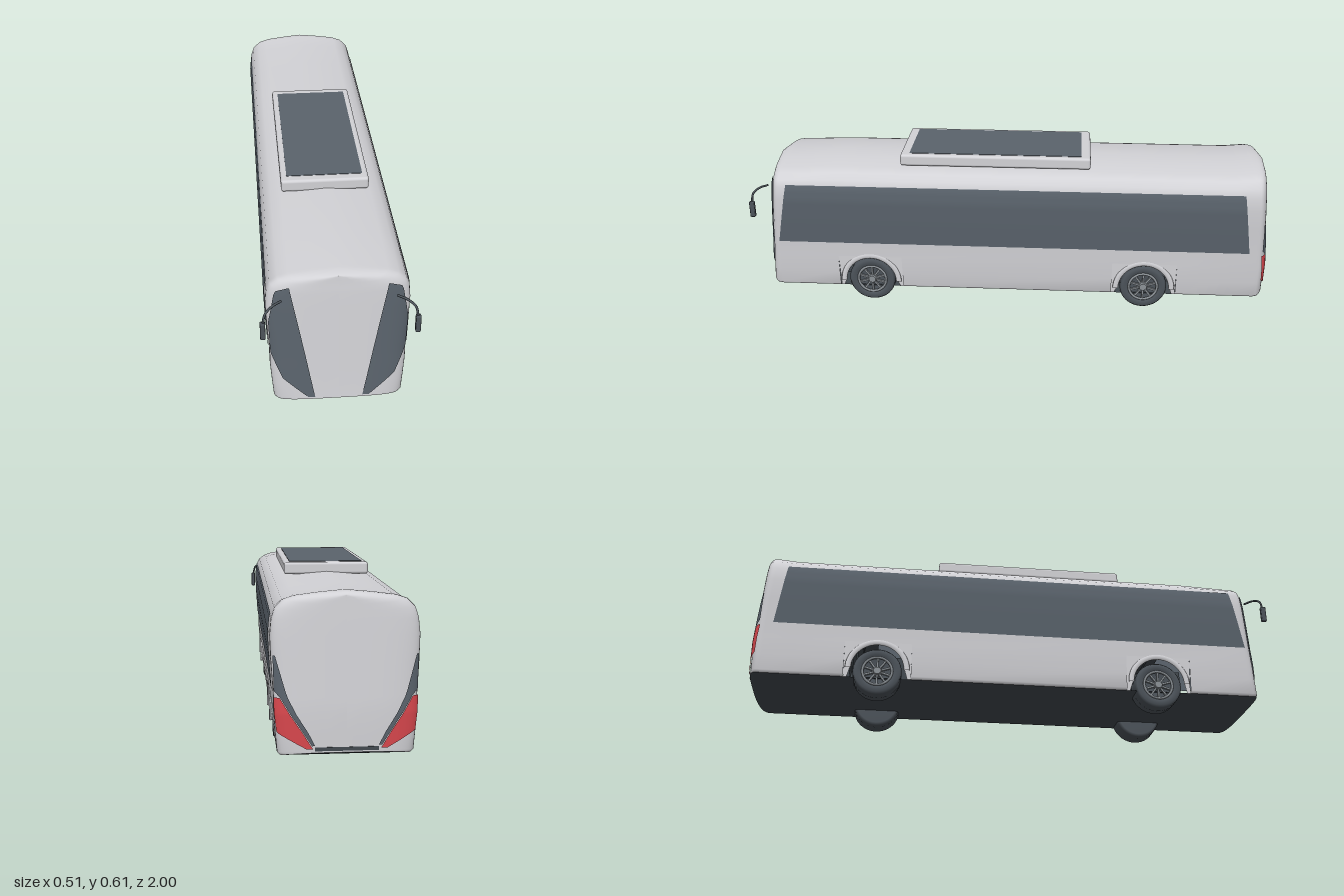
import * as THREE from 'three';
import { RoundedBoxGeometry } from 'three/addons/geometries/RoundedBoxGeometry.js';

const mat = (name, color, side = THREE.FrontSide) => {
  const m = new THREE.MeshStandardMaterial({ color, side });
  m.name = name;
  return m;
};
const DS = THREE.DoubleSide;

// half cross-section (x, y) from floor edge up to roof ridge
const PROFILE = [[0.207, 0.063], [0.216, 0.072], [0.221, 0.13], [0.226, 0.2], [0.226, 0.25], [0.233, 0.36],
  [0.236, 0.44], [0.231, 0.49], [0.22, 0.52], [0.195, 0.542], [0.16, 0.554], [0.08, 0.564], [0, 0.571]];
const NOSE = 0.05;
const WHEEL_Z = [0.55, -0.525];
const BAY = 0.125;

const clamp01 = v => Math.min(1, Math.max(0, v));
const frontZ = y => 0.97 - 0.08 * y;
const rearZ = y => -1 + 0.07 * Math.max(0, y - 0.2);

// linear lookup of column c in rows keyed by column k
function lookup(rows, k, c, v) {
  let i = 0;
  while (i < rows.length - 2 && v > rows[i + 1][k]) i++;
  const a = rows[i], b = rows[i + 1];
  return a[c] + (b[c] - a[c]) * clamp01((v - a[k]) / (b[k] - a[k]));
}
const halfWidth = y => lookup(PROFILE, 1, 0, y);
const bulge = r => Math.cbrt(1 - Math.min(1, Math.abs(r)) ** 3);

function gridGeometry(points, cols, keep = () => true) {
  const rows = points.length / cols, idx = [];
  for (let j = 0; j < rows - 1; j++) {
    for (let i = 0; i < cols - 1; i++) {
      if (!keep(i, j)) continue;
      const a = j * cols + i, b = a + cols;
      idx.push(a, b, b + 1, a, b + 1, a + 1);
    }
  }
  const g = new THREE.BufferGeometry();
  g.setAttribute('position', new THREE.Float32BufferAttribute(points.flat(), 3));
  g.setIndex(idx);
  g.computeVertexNormals();
  return g;
}

function patch(nu, nv, fn) {
  const pts = [];
  for (let j = 0; j <= nv; j++) for (let i = 0; i <= nu; i++) pts.push(fn(i / nu, j / nv));
  return gridGeometry(pts, nu + 1);
}

// stations from the rounded nose to the rounded tail
function makeStations() {
  const st = [], steps = 14;
  const cap = (end, i) => {
    const a = (i / steps) * Math.PI / 2;
    const t = Math.sin(a) ** (2 / 3), s = i === steps ? 0 : Math.cos(a) ** (2 / 3);
    return { end, t, s, dy: end > 0 ? -0.008 - 0.008 * t * t : 0.007 - 0.012 * t ** 4 };
  };
  for (let i = steps; i >= 0; i--) st.push(cap(1, i));
  for (const z of WHEEL_Z) for (const e of [BAY, -BAY]) st.push({ end: 0, z: z + e, s: 1, t: 0, dy: 0 });
  st.push({ end: 0, z: -0.85, s: 1, t: 0, dy: 0 });
  for (let i = 0; i <= steps; i++) st.push(cap(-1, i));
  return st;
}

function loft(ring, stations, keep) {
  const pts = [];
  for (const q of stations) {
    for (const [x, y] of ring) {
      const z = q.end > 0 ? frontZ(y) - NOSE + NOSE * q.t : q.end < 0 ? rearZ(y) + NOSE - NOSE * q.t : q.z;
      const lift = 0.015 * q.t * q.t * clamp01((0.13 - y) / 0.067);
      pts.push([x * q.s, y + lift + q.dy * clamp01((y - 0.49) / 0.05), z]);
    }
  }
  return gridGeometry(pts, ring.length, keep);
}

export function createModel() {
  const model = new THREE.Group();
  model.name = 'bus';
  const paint = mat('body paint', 0xd2d2d6);
  const glass = mat('tinted glass', 0x5a636c, DS);
  const dark = mat('dark underbody', 0x434a50, DS);
  const rubber = mat('tyre rubber', 0x4d545b);
  const metal = mat('wheel metal', 0x8b9196);
  const red = mat('tail light red', 0xd8474d, DS);
  const add = (name, geo, m, parent = model) => {
    const mesh = new THREE.Mesh(geo, m);
    mesh.name = name;
    parent.add(mesh);
    return mesh;
  };

  // shell with open wheel bays, and the floor
  const stations = makeStations();
  const ring = [...PROFILE, ...PROFILE.slice(0, -1).reverse().map(([x, y]) => [-x, y])];
  const inBay = j => stations[j].end === 0 && stations[j + 1].end === 0
    && WHEEL_Z.some(z => Math.abs((stations[j].z + stations[j + 1].z) / 2 - z) < 0.01);
  add('bodyShell', loft(ring, stations, (i, j) => !(inBay(j) && (i < 3 || i >= ring.length - 4))), paint);
  add('floor', loft([[-0.207, 0.063], [0.207, 0.063]], stations), dark);

  // plates that follow the nose (end 1) or the tail (end -1); rows are [y, inner x, outer x]
  const endPlate = (rows, side, end) => patch(16, 28, (u, v) => {
    const y = rows[0][0] + v * (rows[rows.length - 1][0] - rows[0][0]);
    const a = lookup(rows, 0, 1, y), b = lookup(rows, 0, 2, y), x = a + (b - a) * u;
    const d = NOSE * (1 - bulge(x / halfWidth(y))) - 0.004;
    return [side * x * 1.012, y, end > 0 ? frontZ(y) - d : rearZ(y) + d];
  });
  const windscreen = [[0.087, 0.078, 0.1], [0.164, 0.092, 0.184], [0.26, 0.109, 0.221], [0.38, 0.131, 0.225],
    [0.5, 0.154, 0.204], [0.517, 0.157, 0.16]];
  const lamp = [[0.09, 0.105, 0.125], [0.14, 0.135, 0.215], [0.2, 0.175, 0.222], [0.25, 0.205, 0.2235]];
  const sliver = [[0.1, 0.098, 0.108], [0.14, 0.118, 0.133], [0.2, 0.155, 0.173], [0.25, 0.18, 0.203],
    [0.27, 0.187, 0.222], [0.38, 0.218, 0.225]];

  for (const side of [1, -1]) {
    add('windscreenPanel', endPlate(windscreen, side, 1), glass);
    add('tailLight', endPlate(lamp, side, -1), red);
    add('rearGlassSliver', endPlate(sliver, side, -1), glass);

    // side window band
    add('sideWindow', patch(60, 16, (u, v) => {
      const y = 0.26 + 0.24 * v;
      const z0 = 0.905 - 0.047 * v, z = z0 + (-0.92 + 0.035 * v - z0) * u;
      const t = Math.max(0, z - frontZ(y) + NOSE, rearZ(y) + NOSE - z) / NOSE;
      return [side * (halfWidth(y) * bulge(t) + 0.003), y, z];
    }), glass);

    // mirror on a bent arm
    const arm = new THREE.CatmullRomCurve3([[0.185, 0.479, 0.94], [0.215, 0.479, 0.965], [0.238, 0.465, 0.984],
      [0.246, 0.43, 0.99]].map(([x, y, z]) => new THREE.Vector3(side * x, y, z)));
    add('mirrorArm', new THREE.TubeGeometry(arm, 16, 0.004, 8), rubber);
    add('mirror', new RoundedBoxGeometry(0.017, 0.063, 0.02, 2, 0.004), rubber).position.set(side * 0.247, 0.404, 0.99);

    for (const wz of WHEEL_Z) {
      // arched body panel around the wheel
      const s = new THREE.Shape();
      s.moveTo(-BAY, 0.063).lineTo(-0.112, 0.063).lineTo(-0.1, 0.1);
      s.absarc(0, 0.093, 0.1, Math.PI, 0, true);
      s.lineTo(0.1, 0.1).lineTo(0.112, 0.063).lineTo(BAY, 0.063).lineTo(BAY, 0.2).lineTo(-BAY, 0.2);
      const panel = new THREE.ShapeGeometry(s, 24).rotateY(side * Math.PI / 2);
      const p = panel.attributes.position;
      for (let i = 0; i < p.count; i++) p.setX(i, side * halfWidth(p.getY(i)));
      add('wheelArchPanel', panel, paint).position.z = wz;

      // raised lip and dark liner
      const lip = add('wheelArchLip', new THREE.TorusGeometry(0.109, 0.011, 8, 32, Math.PI), paint);
      lip.rotation.y = Math.PI / 2;
      lip.scale.z = 0.45;
      lip.position.set(side * 0.223, 0.093, wz);
      const liner = new THREE.CylinderGeometry(0.104, 0.104, 0.13, 32, 1, true, 0, Math.PI)
        .rotateZ(Math.PI / 2).rotateX(-Math.PI / 2);
      const lp = liner.attributes.position;
      for (let i = 0; i < lp.count; i++) lp.setY(i, Math.abs(lp.getY(i)));
      add('wheelWell', liner, dark).position.set(side * 0.154, 0.093, wz);
      const back = add('wheelWellBack', new THREE.PlaneGeometry(0.24, 0.134), dark);
      back.rotation.y = side * Math.PI / 2;
      back.position.set(side * 0.1, 0.13, wz);

      // wheel, built along +x then turned for the other side
      const wheel = new THREE.Group();
      wheel.name = 'wheel';
      wheel.position.set(side * 0.165, 0.092, wz);
      if (side < 0) wheel.rotation.y = Math.PI;
      model.add(wheel);
      const prof = [[0, -0.043], [0.08, -0.043], [0.09, -0.036], [0.091, -0.012], [0.087, -0.008], [0.091, -0.004],
        [0.091, 0.036], [0.084, 0.046], [0.062, 0.046], [0.056, 0.034], [0, 0.034]];
      add('tyre', new THREE.LatheGeometry(prof.map(([r, h]) => new THREE.Vector2(r, h)), 40)
        .rotateZ(-Math.PI / 2), rubber, wheel);
      const rim = add('rim', new THREE.TorusGeometry(0.055, 0.005, 8, 36), metal, wheel);
      rim.rotation.y = Math.PI / 2;
      rim.position.x = 0.041;
      add('hub', new THREE.CylinderGeometry(0.014, 0.02, 0.014, 20).rotateZ(-Math.PI / 2), metal, wheel).position.x = 0.041;
      for (let k = 0; k < 10; k++) {
        const spoke = add('spoke', new THREE.BoxGeometry(0.008, 0.042, 0.007).translate(0, 0.034, 0), metal, wheel);
        spoke.position.x = 0.038;
        spoke.rotation.x = k * Math.PI / 5;
      }
    }
  }

  // rear bumper grille
  add('rearGrille', new THREE.BoxGeometry(0.2, 0.012, 0.008), dark).position.set(0, 0.089, -0.997);

  // roof unit with dark top panel
  add('roofUnit', new RoundedBoxGeometry(0.314, 0.045, 0.73, 3, 0.01), paint).position.set(0, 0.5825, 0.06);
  add('roofPanel', new THREE.BoxGeometry(0.272, 0.004, 0.66), glass).position.set(0, 0.6045, 0.06);
  return model;
}
